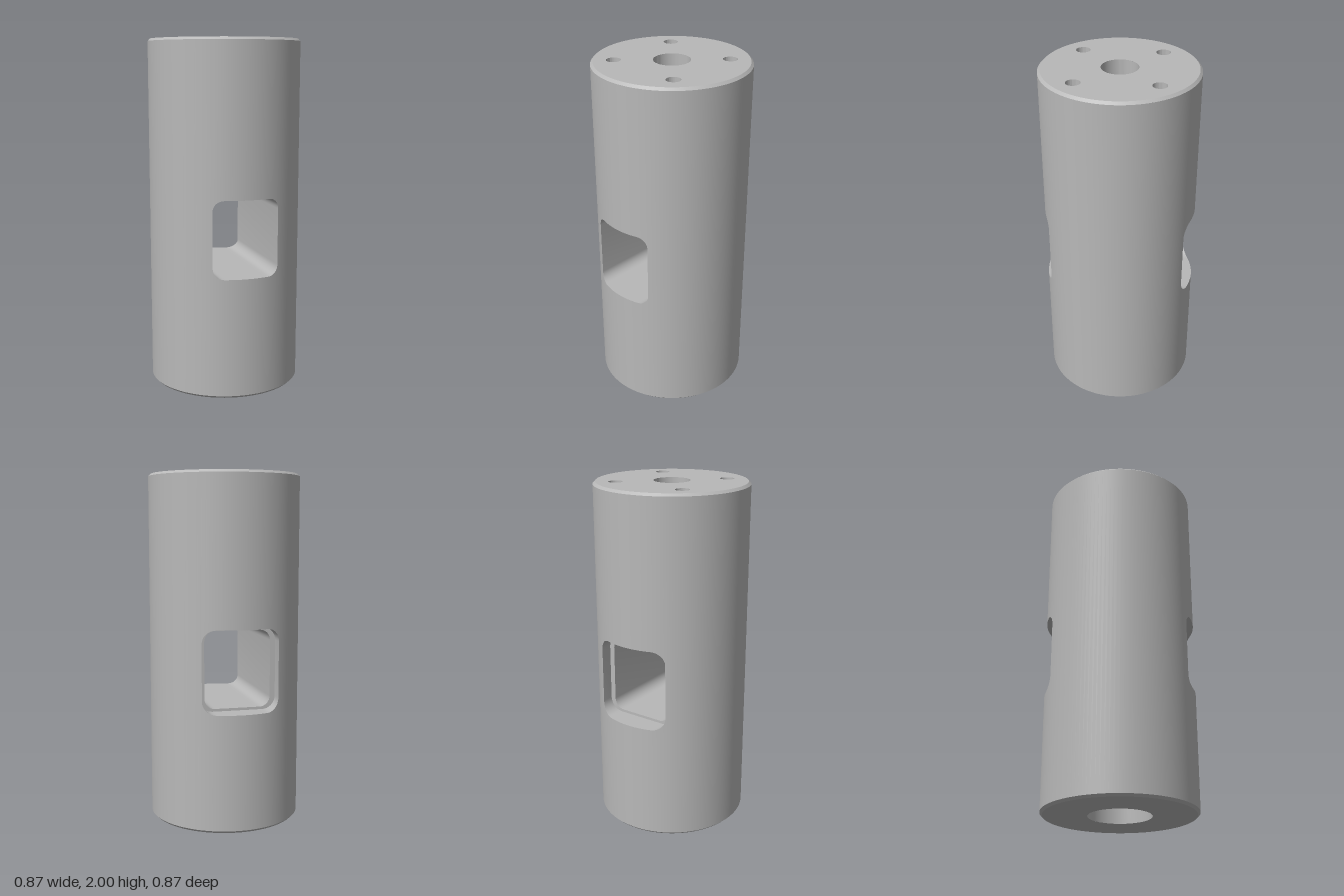
import * as THREE from 'three';
import { toCreasedNormals } from 'three/addons/utils/BufferGeometryUtils.js';

const R = 0.437, H = 2, C = 0.014; // body radius, height, chamfer
const FRONT = { w: 0.19, y0: 0.69, y1: 1.13, r: 0.06 }; // window passage
const BACK = { w: 0.22, y0: 0.675, y1: 1.145, r: 0.075 }; // wider rear recess
const LEDGE_Z = -0.308;
const surfaceZ = (x) => Math.sqrt(R * R - x * x);

// x positions across a window: dense in the rounded corners, even between
function windowXs({ w, r }) {
  const xs = [];
  for (let i = 0; i <= 8; i++) xs.push(-w + r - r * Math.cos((i / 8) * Math.PI / 2));
  for (let i = 1; i < 12; i++) xs.push((w - r) * (i / 6 - 1));
  return xs.concat(xs.slice(0, 9).reverse().map((x) => -x));
}

// lower and upper edge of a rounded window at x
function edges({ w, y0, y1, r }, x) {
  const d = Math.max(0, Math.abs(x) - (w - r));
  const rise = r - Math.sqrt(Math.max(0, r * r - d * d));
  return [y0 + rise, y1 - rise];
}

// counter-clockwise outline of a window
function outline(win) {
  const xs = windowXs(win);
  const low = xs.map((x) => new THREE.Vector2(x, edges(win, x)[0]));
  const high = xs.map((x) => new THREE.Vector2(x, edges(win, x)[1])).reverse();
  return low.concat(high);
}

function fromPositions(pos, normals) {
  const g = new THREE.BufferGeometry();
  g.setAttribute('position', new THREE.Float32BufferAttribute(pos, 3));
  if (normals) g.setAttribute('normal', new THREE.Float32BufferAttribute(normals, 3));
  else g.computeVertexNormals();
  return g;
}

// cylindrical skin made of vertical columns, split above and below the windows
function skinGeometry() {
  const pos = [], nor = [];
  const put = (t, y) => {
    pos.push(R * Math.sin(t), y, R * Math.cos(t));
    nor.push(Math.sin(t), 0, Math.cos(t));
  };
  const strip = (a, b, la, lb, ha, hb) => {
    put(a, la); put(b, lb); put(b, hb);
    put(a, la); put(b, hb); put(a, ha);
  };
  const bottom = C, top = H - C;
  for (const [win, turn] of [[FRONT, 0], [BACK, Math.PI]]) {
    const xs = windowXs(win);
    for (let i = 0; i < xs.length - 1; i++) {
      const a = turn + Math.asin(xs[i] / R), b = turn + Math.asin(xs[i + 1] / R);
      const [la, ha] = edges(win, xs[i]), [lb, hb] = edges(win, xs[i + 1]);
      strip(a, b, bottom, bottom, la, lb);
      strip(a, b, ha, hb, top, top);
    }
  }
  const f = Math.asin(FRONT.w / R), k = Math.asin(BACK.w / R);
  for (const [from, to] of [[f, Math.PI - k], [Math.PI + k, 2 * Math.PI - f]]) {
    const n = 40, step = (to - from) / n;
    for (let i = 0; i < n; i++) {
      strip(from + i * step, from + (i + 1) * step, bottom, bottom, top, top);
    }
  }
  return fromPositions(pos, nor);
}

// inward-facing walls of a window between two depths
function passageGeometry(win, zNear, zFar) {
  const pts = outline(win), pos = [];
  pts.forEach((p, i) => {
    const q = pts[(i + 1) % pts.length];
    const a = [p.x, p.y, zNear(p.x)], b = [q.x, q.y, zNear(q.x)];
    const c = [q.x, q.y, zFar(q.x)], d = [p.x, p.y, zFar(p.x)];
    pos.push(...a, ...b, ...c, ...a, ...c, ...d);
  });
  return toCreasedNormals(fromPositions(pos), 0.6);
}

// disc with round holes, each given as [x, y, radius]
function discGeometry(holes) {
  const shape = new THREE.Shape().absarc(0, 0, R - C, 0, Math.PI * 2);
  for (const [x, y, r] of holes) {
    shape.holes.push(new THREE.Path().absarc(x, y, r, 0, Math.PI * 2, true));
  }
  return new THREE.ShapeGeometry(shape, 64);
}

// turned inner surface from [radius, y] points
const bore = (points) => toCreasedNormals(
  new THREE.LatheGeometry(points.map((p) => new THREE.Vector2(...p)), 64), 0.6);

export function createModel() {
  const group = new THREE.Group();
  group.name = 'slottedCylinder';
  const metal = new THREE.MeshStandardMaterial({ color: 0xb8b8b8 });
  metal.name = 'grey metal';
  const add = (name, geometry, x = 0, y = 0, z = 0) => {
    const mesh = new THREE.Mesh(geometry, metal);
    mesh.name = name;
    mesh.position.set(x, y, z);
    group.add(mesh);
    return mesh;
  };

  // outer body and chamfers
  add('bodyWall', skinGeometry());
  add('topChamfer', new THREE.CylinderGeometry(R - C, R, C, 128, 1, true), 0, H - C / 2);
  add('bottomChamfer', new THREE.CylinderGeometry(R, R - C, C, 128, 1, true), 0, C / 2);

  // end faces
  const screws = [[-1, -1], [1, -1], [-1, 1], [1, 1]].map(([x, z]) => [x * 0.221, z * 0.221]);
  const top = discGeometry([[0, 0, 0.102], ...screws.map(([x, z]) => [x, z, 0.04])]);
  add('topFace', top.rotateX(-Math.PI / 2), 0, H);
  add('bottomFace', discGeometry([[0, 0, 0.178]]).rotateX(Math.PI / 2));

  // bores
  add('topBore', bore([[0.102, H], [0.102, 1.75], [0.067, 1.75], [0.067, 1.5], [0, 1.5]]));
  add('bottomBore', bore([[0, 0.4], [0.178, 0.4], [0.178, 0]]));
  for (const [x, z] of screws) {
    add('screwHole', bore([[0.04, H], [0.04, H - 0.2], [0, H - 0.2]]), x, 0, z);
  }

  // window passage, rear recess and the flat ledge between them
  add('windowPassage', passageGeometry(FRONT, surfaceZ, () => LEDGE_Z));
  add('rearRecess', passageGeometry(BACK, () => LEDGE_Z, (x) => -surfaceZ(x)));
  const ledge = new THREE.Shape(outline(BACK));
  ledge.holes.push(new THREE.Path(outline(FRONT)));
  add('rearLedge', new THREE.ShapeGeometry(ledge).rotateY(Math.PI), 0, 0, LEDGE_Z);

  return group;
}
